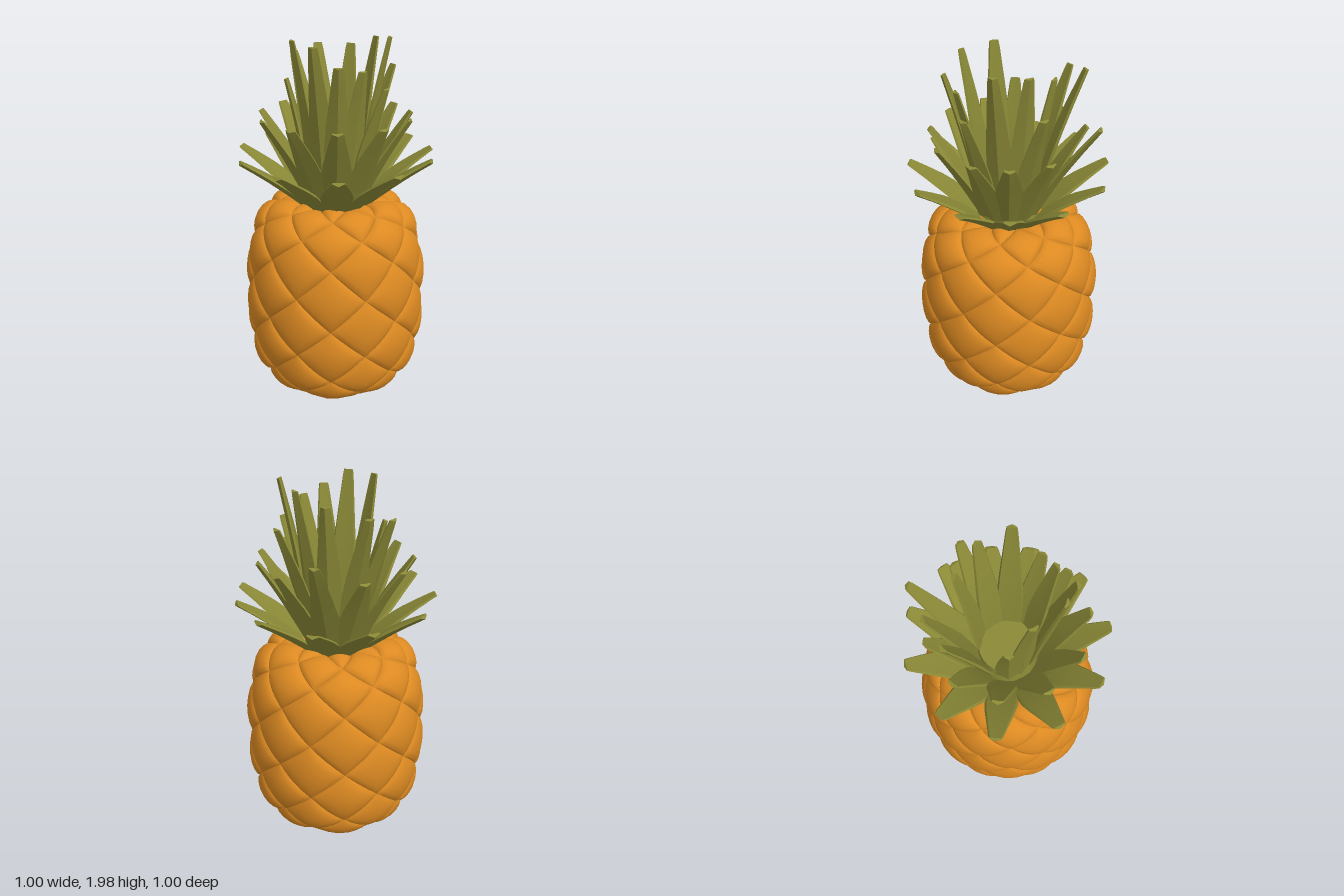
import * as THREE from 'three';
import { toCreasedNormals, mergeGeometries } from 'three/addons/utils/BufferGeometryUtils.js';

const orange = new THREE.MeshStandardMaterial({ color: 0xdd8a22 });
orange.name = 'orange rind';
const green = new THREE.MeshStandardMaterial({ color: 0x8a8937 });
green.name = 'leaf green';

// One scale: a grid of points over s, t in [-1, 1] with a pillow height
function scaleGeometry(n, point) {
  const pos = [], index = [];
  for (let i = 0; i <= n; i++) for (let j = 0; j <= n; j++) {
    // samples are denser near the rim, where the scale falls steeply
    const s = Math.sin((i / n - 0.5) * Math.PI), t = Math.sin((j / n - 0.5) * Math.PI);
    const p = point(s, t, Math.pow(Math.max(0, (1 - s * s) * (1 - t * t)), 0.45));
    pos.push(p.x, p.y, p.z);
    if (i < n && j < n) {
      const a = i * (n + 1) + j, b = a + n + 1;
      index.push(a, b, b + 1, a, b + 1, a + 1);
    }
  }
  const g = new THREE.BufferGeometry();
  g.setAttribute('position', new THREE.Float32BufferAttribute(pos, 3));
  g.setIndex(index);
  g.computeVertexNormals();
  return g;
}

// Rind levels [radius, height]; each diamond spans two levels
const levels = [[0.29, 0.125], [0.375, 0.2], [0.422, 0.30], [0.45, 0.455], [0.453, 0.614],
  [0.448, 0.775], [0.425, 0.937], [0.38, 1.065], [0.29, 1.14], [0.16, 1.14], [0.05, 1.12]];
const profile = new THREE.CatmullRomCurve3(levels.map(([r, y]) => new THREE.Vector3(r, y, 0)));

function rindPoint(angle, level, height) {
  const u = THREE.MathUtils.clamp(level / (levels.length - 1), 0, 1);
  const p = profile.getPoint(u), d = profile.getTangent(u);
  const r = p.x + d.y * height, y = p.y - d.x * height;
  return new THREE.Vector3(r * Math.sin(angle), y, r * Math.cos(angle));
}

function rind() {
  const scales = [], step = Math.PI / 8;
  for (let level = 1; level < levels.length - 1; level++) {
    const bulge = level < 2 ? 0.026 : 0.032;
    for (let k = 0; k < 8; k++) {
      const centre = (2 * k + 1 - (level % 2)) * step;
      scales.push(scaleGeometry(8, (s, t, h) =>
        rindPoint(centre + (s - t) / 2 * step, level + (s + t) / 2, bulge * h)));
    }
  }
  return mergeGeometries(scales);
}

// Small scales of the underside: a square grid pressed into a bowl
function underside() {
  const scales = [], n = 6, R = 0.365, up = new THREE.Vector3(0, 1, 0);
  for (let i = 0; i < n; i++) for (let j = 0; j < n; j++) {
    scales.push(scaleGeometry(6, (s, t, h) => {
      const a = (2 * i + 1 + s) / n - 1, b = (2 * j + 1 + t) / n - 1;
      const p = new THREE.Vector3(a * Math.sqrt(1 - b * b / 2) * R, 0, b * Math.sqrt(1 - a * a / 2) * R);
      p.y = 0.024 + 0.18 * Math.pow(Math.hypot(p.x, p.z) / R, 2.2);
      const out = new THREE.Vector3(p.x * 3, -1, p.z * 3).normalize();
      return p.addScaledVector(out, 0.022 * h).applyAxisAngle(up, Math.PI / 4);
    }));
  }
  return mergeGeometries(scales);
}

// Thick tapering blade with bevelled edges, lofted from base to tip
function leafGeometry(base, tip, width) {
  const d = tip.clone().sub(base).normalize();
  const w = new THREE.Vector3(0, 1, 0).cross(d).normalize();
  const n = d.clone().cross(w);
  const stations = [[0, 0.8], [0.2, 0.92], [0.45, 1], [0.6, 0.88], [0.78, 0.66], [0.96, 0.44], [1, 0.36]];
  const section = [[1, 0.1], [0.88, 0.5], [0, 0.4], [-0.88, 0.5], [-1, 0.1], [0, -0.7]];
  const pos = [], index = [], m = section.length;
  stations.forEach(([t, k], row) => {
    const c = base.clone().lerp(tip, t).addScaledVector(n, 0.012 * Math.sin(Math.PI * t));
    const thick = 0.03 * (0.35 + 0.65 * k);
    section.forEach(([x, y], i) => {
      const p = c.clone().addScaledVector(w, x * k * width / 2).addScaledVector(n, y * thick);
      pos.push(p.x, p.y, p.z);
      if (row < stations.length - 1) {
        const a = row * m + i, b = row * m + (i + 1) % m;
        index.push(a, b, b + m, a, b + m, a + m);
      }
    });
  });
  // closed ends, fanned from the middle of the upper face
  const last = (stations.length - 1) * m;
  for (let i = 3; i < m + 1; i++) {
    const a = i % m, b = (i + 1) % m;
    index.push(2, b, a, last + 2, last + a, last + b);
  }
  const g = new THREE.BufferGeometry();
  g.setAttribute('position', new THREE.Float32BufferAttribute(pos, 3));
  g.setIndex(index);
  return toCreasedNormals(g, 0.6);
}

export function createModel() {
  const model = new THREE.Group();
  model.name = 'pineapple';
  const add = (parent, name, geometry, material) => {
    const mesh = new THREE.Mesh(geometry, material);
    mesh.name = name;
    parent.add(mesh);
    return mesh;
  };
  add(model, 'rindScales', rind(), orange);
  add(model, 'undersideScales', underside(), orange);

  const crown = new THREE.Group();
  crown.name = 'crown';
  model.add(crown);
  add(crown, 'crownCore', new THREE.CylinderGeometry(0.14, 0.17, 0.22, 24), green).position.y = 1.21;

  const addLeaf = (name, tip, baseRadius, baseY, width) => {
    const a = Math.atan2(tip.x, tip.z);
    const base = new THREE.Vector3(Math.sin(a) * baseRadius, baseY, Math.cos(a) * baseRadius);
    add(crown, name, leafGeometry(base, tip, width), green);
  };

  // Two rings of spreading leaves, by angle around the crown
  const angles = [0.08, 0.68, 1.27, 1.73, 2.24, 2.83, 3.39, 4.01, 4.57, 5.18, 5.77];
  for (const a of angles) {
    const at = (r, y) => new THREE.Vector3(Math.sin(a) * r, y, Math.cos(a) * r);
    addLeaf('outerLeaf', at(0.5, 1.415), 0.14, 1.13, 0.16);
    addLeaf('middleLeaf', at(0.385, 1.61), 0.13, 1.15, 0.15);
  }

  // Tall inner leaves, by tip position
  const tips = [[0.26, 1.99, 0.03], [-0.2, 1.98, 0.1], [-0.09, 1.97, 0.24], [0.2, 1.97, -0.12],
    [0.07, 1.92, -0.22], [0.03, 1.89, 0.3], [-0.11, 1.9, -0.35], [-0.23, 1.87, -0.27],
    [0.14, 1.72, -0.44], [0.29, 1.82, -0.2], [0.25, 1.77, 0.17], [-0.24, 1.78, 0.0], [0.14, 1.86, 0.22]];
  tips.forEach(t => addLeaf('innerLeaf', new THREE.Vector3(...t), 0.12, 1.16, 0.125));

  return model;
}
